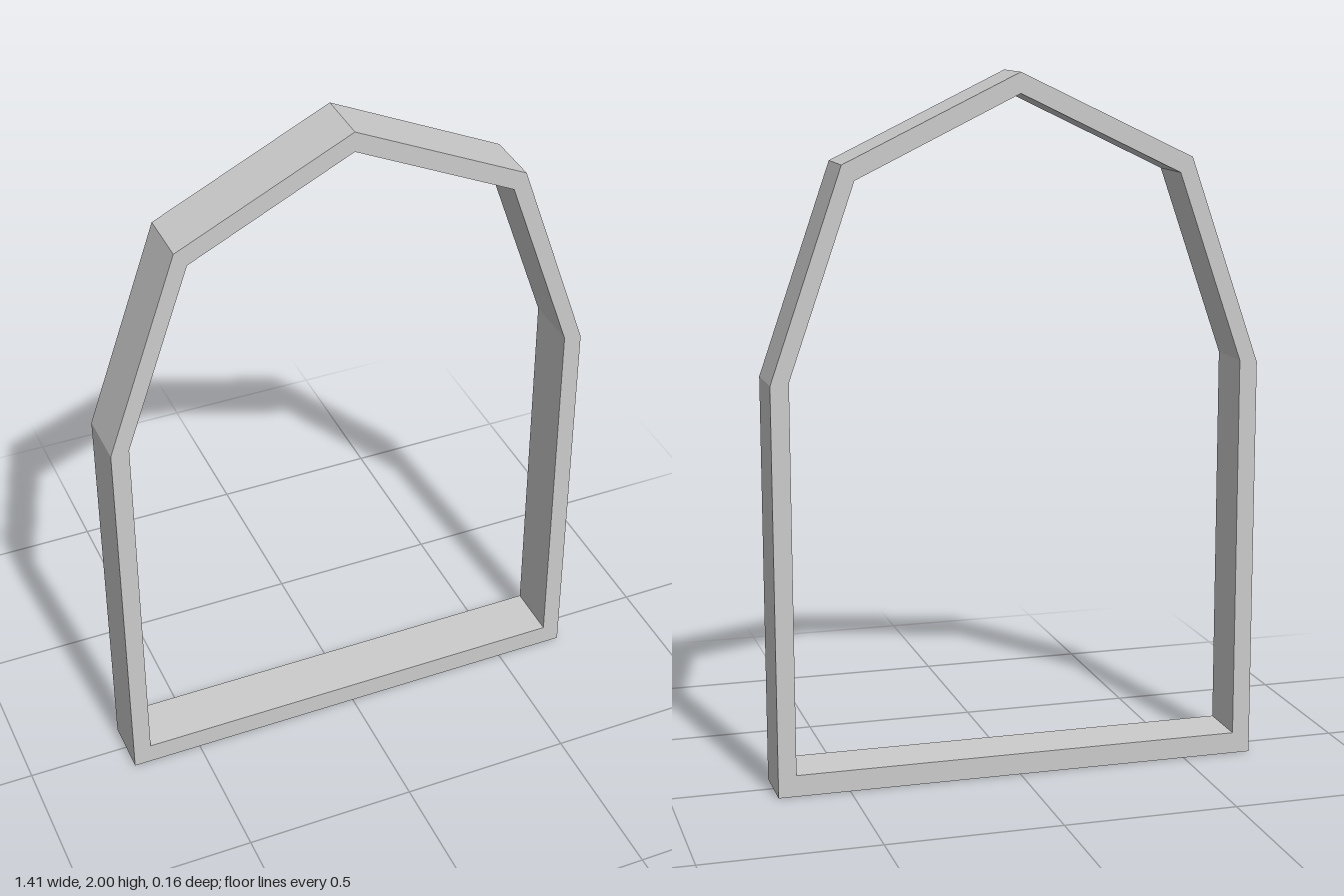
import * as THREE from 'three';

const DEPTH = 0.164;

// Right half of an outline, bottom to shoulder to eave, mirrored about the apex
function archPoints(half, apexY) {
  const left = half.map(([x, y]) => [-x, y]).reverse();
  return [...half, [0, apexY], ...left].map(([x, y]) => new THREE.Vector2(x, y));
}

export function createModel() {
  const group = new THREE.Group();
  group.name = 'archedWindowFrame';

  // Outer outline with the pointed opening cut through it
  const outline = new THREE.Shape(archPoints([[0.705, 0], [0.705, 1.17], [0.5, 1.76]], 2));
  outline.holes.push(new THREE.Path(archPoints([[0.653, 0.062], [0.653, 1.177], [0.465, 1.717]], 1.942)));

  const geometry = new THREE.ExtrudeGeometry(outline, { depth: DEPTH, bevelEnabled: false });
  geometry.translate(0, 0, -DEPTH / 2);

  const frame = new THREE.Mesh(
    geometry,
    new THREE.MeshStandardMaterial({ color: 0xcccccc, flatShading: true })
  );
  frame.name = 'frame';
  group.add(frame);
  return group;
}
